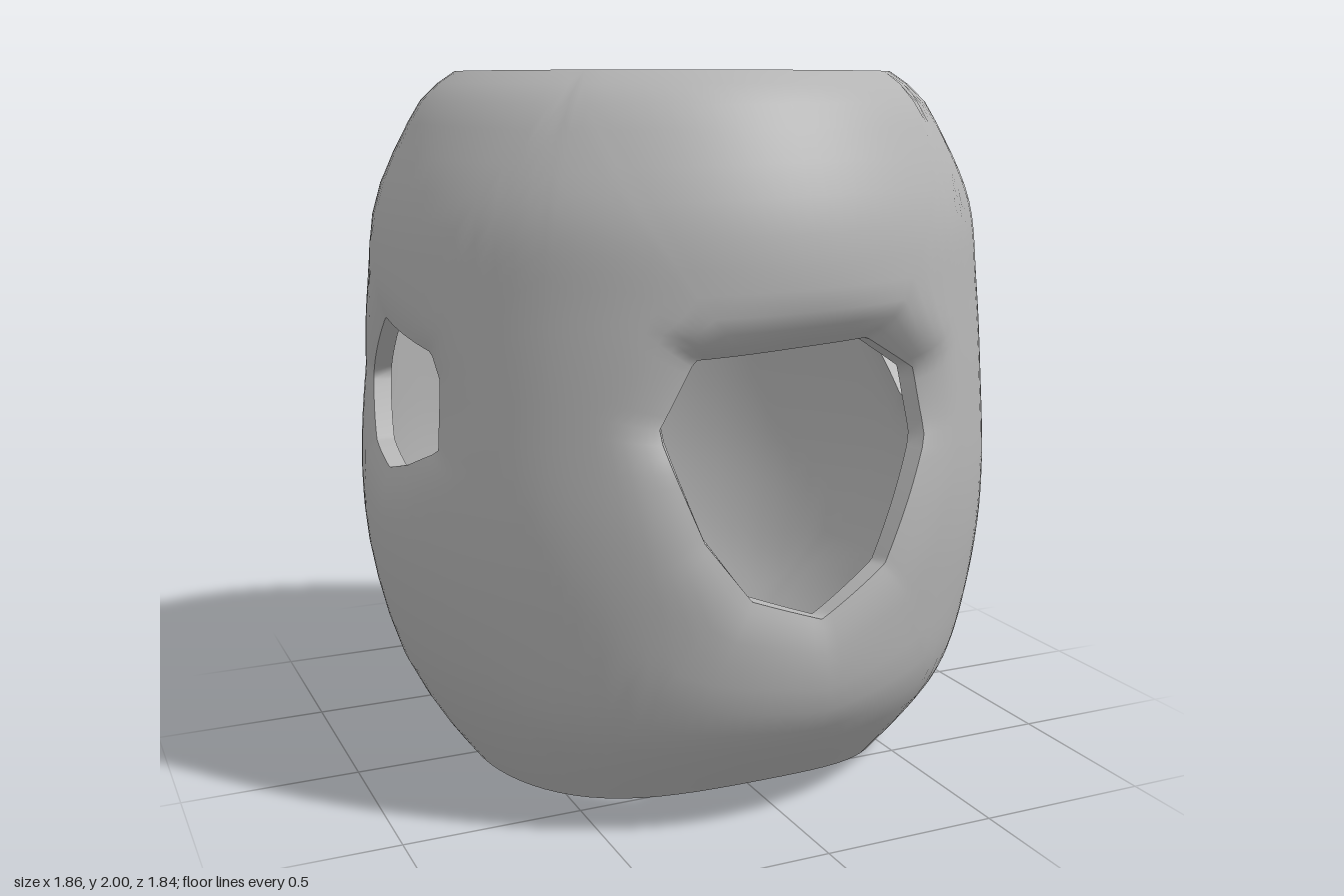
import * as THREE from 'three';
import { mergeVertices } from 'three/addons/utils/BufferGeometryUtils.js';

const R = 0.9;                 // reference radius used to unroll the wall
const WALL = 0.05;
const HALF = R * Math.PI / 4;  // half width of one unrolled quarter
const RINGS = [0, 0.04, 0.09, 0.15, 0.23, 0.32, 0.43, 0.55, 0.67, 0.79, 0.88, 0.95, 1];

// Barrel profile: radius, height
const profile = new THREE.SplineCurve([
  [0.64, 0], [0.74, 0.14], [0.84, 0.33], [0.91, 0.6], [0.93, 0.85], [0.915, 1.15],
  [0.895, 1.4], [0.865, 1.64], [0.77, 1.85], [0.71, 1.94], [0.63, 2],
].map(([r, y]) => new THREE.Vector2(r, y))).getPoints(120);

function radiusAt(y) {
  for (let i = 1; i < profile.length; i++) {
    const a = profile[i - 1], b = profile[i];
    if (y <= b.y) return a.x + (b.x - a.x) * (y - a.y) / (b.y - a.y || 1);
  }
  return profile[profile.length - 1].x;
}

// Wall point at an angle and height; inset moves it inwards
function wallPoint(theta, y, inset) {
  const front = Math.max(0, Math.cos(theta));
  const bulge = 0.05 * front ** 3 * Math.exp(-(((y - 0.32) / 0.22) ** 2));
  const lift = 0.06 * front ** 5 * Math.max(0, 1 - y / 0.35);
  const r = radiusAt(y) + bulge - inset;
  return [r * Math.sin(theta), y + lift, r * Math.cos(theta)];
}

// Distance from the centre to a polygon along a direction
function reach(polygon, c, dx, dy) {
  let best = 0;
  polygon.forEach(([ax, ay], i) => {
    const [bx, by] = polygon[(i + 1) % polygon.length];
    const ex = bx - ax, ey = by - ay, px = ax - c[0], py = ay - c[1];
    const det = dx * ey - dy * ex;
    if (Math.abs(det) < 1e-9) return;
    const t = (px * ey - py * ex) / det, s = (px * dy - py * dx) / det;
    if (t > 0 && s >= -1e-6 && s <= 1 + 1e-6) best = Math.max(best, t);
  });
  return best;
}

// Outline of one unrolled quarter, counter-clockwise
function outline() {
  const pts = [], nx = 20, ny = 32;
  for (let i = 0; i < nx; i++) pts.push([-HALF + 2 * HALF * i / nx, 0]);
  for (let i = 0; i < ny; i++) pts.push([HALF, 2 * i / ny]);
  for (let i = 0; i < nx; i++) pts.push([HALF - 2 * HALF * i / nx, 2]);
  for (let i = 0; i < ny; i++) pts.push([-HALF, 2 - 2 * i / ny]);
  return pts;
}

// Loops running from the hole edge out to the quarter's outline
function quarterLoops({ angle, hole, centre, recess }, inset) {
  return RINGS.map((t) => outline().map(([px, py]) => {
    const dx = px - centre[0], dy = py - centre[1], len = Math.hypot(dx, dy);
    const start = hole ? reach(hole, centre, dx / len, dy / len) : 0;
    const d = start + (len - start) * t;
    const x = centre[0] + dx / len * d, y = centre[1] + dy / len * d;
    // The wall turns inwards around a hole
    const fade = Math.max(0, 1 - (d - start) / 0.14) ** 2;
    const sink = hole ? recess(dy / len) * fade : 0;
    return wallPoint(angle + x / R, Math.min(2, Math.max(0, y)), inset + sink);
  }));
}

// Skin a stack of closed loops into a triangle list
function skin(loops, out, flip = false) {
  for (let i = 0; i + 1 < loops.length; i++) {
    const n = loops[i].length;
    for (let j = 0; j < n; j++) {
      const k = (j + 1) % n;
      const a = loops[i][j], b = loops[i][k], c = loops[i + 1][j], d = loops[i + 1][k];
      if (flip) out.push(...a, ...d, ...c, ...a, ...b, ...d);
      else out.push(...a, ...c, ...d, ...a, ...d, ...b);
    }
  }
}

function smoothMesh(name, positions, material) {
  let geometry = new THREE.BufferGeometry();
  geometry.setAttribute('position', new THREE.Float32BufferAttribute(positions, 3));
  geometry = mergeVertices(geometry, 1e-4);
  geometry.computeVertexNormals();
  const mesh = new THREE.Mesh(geometry, material);
  mesh.name = name;
  return mesh;
}

export function createModel() {
  const model = new THREE.Group();
  model.name = 'hollowBarrel';
  const grey = new THREE.MeshStandardMaterial({ color: 0xb4b4b4, side: THREE.DoubleSide });
  grey.name = 'plain grey';

  const unroll = (x) => R * Math.asin(x / R);
  const frontHole = [
    [-0.31, 1.285], [0.23, 1.315], [0.39, 1.22], [0.39, 1.05], [0.23, 0.72],
    [0.03, 0.6], [-0.17, 0.67], [-0.29, 0.83], [-0.4, 1.11],
  ].map(([x, y]) => [unroll(x), y]);
  const sideHole = (sign) => [
    [0.3, 1.27], [0, 1.33], [-0.2, 1.14], [-0.06, 0.97], [0.08, 0.92], [0.2, 0.95],
    [0.34, 1.01], [0.34, 1.2],
  ].map(([z, y]) => [sign * unroll(z), y]);

  const quarters = [
    { name: 'frontHoleEdge', angle: 0, hole: frontHole, centre: [0, 1.02],
      recess: (up) => 0.03 + 0.08 * Math.max(0, up) },
    { name: 'leftHoleEdge', angle: Math.PI / 2, hole: sideHole(-1), centre: [-0.08, 1.12], recess: () => 0.03 },
    { name: 'back', angle: Math.PI, hole: null, centre: [0, 1], recess: () => 0 },
    { name: 'rightHoleEdge', angle: -Math.PI / 2, hole: sideHole(1), centre: [0.08, 1.12], recess: () => 0.03 },
  ];

  // Outer and inner walls, with a narrow edge through each hole
  const outer = [], inner = [];
  for (const q of quarters) {
    const outside = quarterLoops(q, 0), inside = quarterLoops(q, WALL);
    skin(outside, outer);
    skin(inside, inner, true);
    if (q.hole) {
      const edge = [];
      skin([inside[0], outside[0]], edge);
      model.add(smoothMesh(q.name, edge, grey));
    }
  }
  model.add(smoothMesh('outerWall', outer, grey));
  model.add(smoothMesh('innerWall', inner, grey));

  // Rims closing the wall at the top and bottom openings
  for (const [name, y, flip] of [['topRim', 2, false], ['bottomRim', 0, true]]) {
    const ring = (inset) => Array.from({ length: 80 }, (_, i) => wallPoint(i * Math.PI / 40, y, inset));
    const rim = [];
    skin([ring(WALL), ring(0)], rim, flip);
    model.add(smoothMesh(name, rim, grey));
  }
  return model;
}
